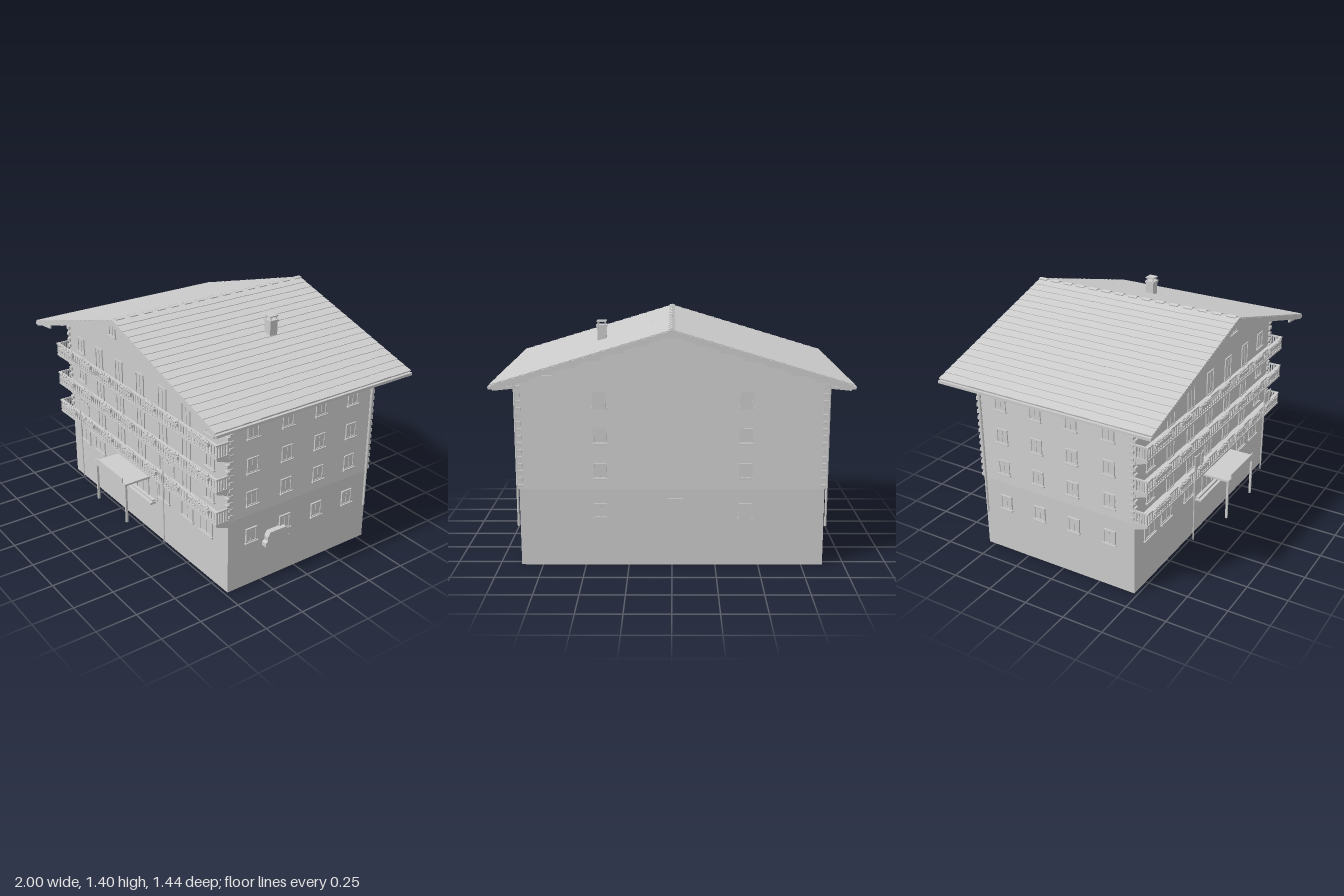
import * as THREE from 'three';
import { mergeGeometries } from 'three/addons/utils/BufferGeometryUtils.js';

const RIDGE = 1.39, SLOPE = 0.302, EAVE = 0.985;
const X = 0.877, ZF = 0.48, ZB = -0.545;       // wall faces
const ROOF_F = 0.65, ROOF_B = -0.72;

export function createModel() {
  const model = new THREE.Group();
  model.name = 'chalet';
  const grey = new THREE.MeshStandardMaterial({ color: 0xcccccc });
  grey.name = 'plain grey';

  let seed = 7;
  const rand = () => (seed = (seed * 16807) % 2147483647) / 2147483647;

  // Box given by its limits on each axis
  const box = (x0, x1, y0, y1, z0, z1) =>
    new THREE.BoxGeometry(x1 - x0, y1 - y0, z1 - z0)
      .translate((x0 + x1) / 2, (y0 + y1) / 2, (z0 + z1) / 2);
  const rod = (r, y0, y1, x, z, n = 8) =>
    new THREE.CylinderGeometry(r, r, y1 - y0, n).translate(x, (y0 + y1) / 2, z);
  const part = (name, geos) => {
    const flat = geos.map(g => (g.index ? g.toNonIndexed() : g));
    const mesh = new THREE.Mesh(mergeGeometries(flat), grey);
    mesh.name = name;
    model.add(mesh);
    return mesh;
  };
  const extrude = (points, depth) =>
    new THREE.ExtrudeGeometry(new THREE.Shape(points.map(p => new THREE.Vector2(...p))),
      { depth, bevelEnabled: false });

  // Stone base and gabled upper storeys
  part('base', [box(-X + 0.002, X - 0.002, 0, 0.46, ZB, ZF)]);
  const gableY = RIDGE - 0.02 - X * SLOPE;
  part('upperWalls', [extrude([[-X, 0.46], [X, 0.46], [X, gableY], [0, RIDGE - 0.02], [-X, gableY]],
    ZF - ZB).translate(0, 0, ZB)]);

  // Tilted cladding courses on the sides and back
  const cladding = [];
  const pitch = 0.041;
  for (let y = 0.46; y < 1.3; y += pitch) {
    const half = Math.min(X, (RIDGE - 0.03 - y - pitch) / SLOPE);
    cladding.push(new THREE.BoxGeometry(half * 2, pitch, 0.003).rotateX(0.07)
      .translate(0, y + pitch / 2, ZB - 0.001));
    if (y < 1.04) for (const s of [-1, 1])
      cladding.push(new THREE.BoxGeometry(0.003, pitch, ZF - ZB).rotateZ(s * 0.07)
        .translate(s * (X + 0.001), y + pitch / 2, (ZF + ZB) / 2));
  }
  part('wallCladding', cladding);

  // Interlocking log ends at the corners
  const logs = [];
  for (let i = 0; i < 15; i++) {
    const y = 0.465 + i * pitch;
    for (const s of [-1, 1]) for (const [z, d] of [[ZF, 1], [ZB, -1]]) {
      const x = s * (X - 0.01);
      logs.push(box(x - 0.014, x + 0.014, y, y + 0.021, z - 0.012, z + 0.012));
      logs.push(box(s * X - 0.009, s * X + 0.009, y + 0.021, y + 0.038,
        z - d * 0.012 - 0.012, z - d * 0.012 + 0.012));
    }
  }
  part('logCorners', logs);

  // Roof slab with overhanging eaves
  const eaveY = RIDGE - EAVE * SLOPE;
  part('roof', [extrude([[0, RIDGE], [-EAVE, eaveY], [-EAVE + 0.01, eaveY - 0.027], [0, RIDGE - 0.03],
    [EAVE - 0.01, eaveY - 0.027], [EAVE, eaveY]], ROOF_F - ROOF_B).translate(0, 0, ROOF_B)]);

  // Shingle courses, broken at irregular lengths
  const shingles = [];
  const tilt = Math.atan(SLOPE), rows = 18, len = EAVE / Math.cos(tilt) / rows;
  for (const s of [-1, 1]) for (let r = 0; r < rows; r++) {
    const x = (r + 0.5) * EAVE / rows;
    let z = ROOF_B;
    while (z < ROOF_F - 0.001) {
      let end = z + 0.035 + rand() * 0.06;
      if (end > ROOF_F - 0.03) end = ROOF_F;
      shingles.push(new THREE.BoxGeometry(len * (1.04 + rand() * 0.12), 0.005, end - z)
        .rotateZ(-s * (tilt - 0.06))
        .translate(s * (x + 0.002), RIDGE - x * SLOPE + 0.003, (z + end) / 2));
      z = end;
    }
  }
  part('shingles', shingles);

  // Ridge caps, rafter ends and gutters
  const caps = [], rafters = [], gutters = [];
  for (let i = 0; i < 15; i++) {
    const z = ROOF_B + 0.03 + i * 0.0925;
    for (const s of [-1, 1])
      caps.push(new THREE.BoxGeometry(0.02, 0.006, 0.055).rotateZ(-s * tilt).translate(s * 0.008, RIDGE + 0.008, z));
  }
  for (const s of [-1, 1]) {
    for (let i = 0; i < 16; i++)
      rafters.push(new THREE.BoxGeometry(0.11, 0.016, 0.012).rotateZ(-s * 0.1)
        .translate(s * 0.925, eaveY - 0.022, ROOF_B + 0.04 + i * 0.086));
    gutters.push(box(s * 0.99 - 0.01, s * 0.99 + 0.01, eaveY - 0.022, eaveY - 0.006, ROOF_B, ROOF_F));
    gutters.push(rod(0.007, 0.23, 1.075, s * (X + 0.012), -0.525));
  }
  part('ridgeCaps', caps);
  part('rafterEnds', rafters);
  part('guttersAndDownpipes', gutters);

  // Chimney with an open hood
  const chimney = [box(0.39, 0.442, 1.24, 1.355, -0.18, -0.128), box(0.384, 0.448, 1.345, 1.357, -0.186, -0.122),
    box(0.388, 0.444, 1.374, 1.382, -0.182, -0.126)];
  for (const x of [0.396, 0.436]) for (const z of [-0.174, -0.134]) chimney.push(rod(0.004, 1.355, 1.375, x, z, 6));
  part('chimney', chimney);

  // Framed opening facing +z, then turned onto its wall
  function opening(w, h, bars, sill) {
    const t = 0.008, a = w / 2, b = h / 2;
    const g = [box(-a, a, -b, b, -0.003, 0.002), box(-a, -a + t, -b, b, 0, 0.007), box(a - t, a, -b, b, 0, 0.007),
      box(-a + t, a - t, b - t, b, 0, 0.007), box(-a + t, a - t, -b, -b + t, 0, 0.007)];
    if (bars) g.push(box(-0.003, 0.003, -b + t, b - t, 0, 0.005));
    if (sill) g.push(box(-a - 0.006, a + 0.006, -b - 0.006, -b + 0.003, 0, 0.014));
    return mergeGeometries(g);
  }
  const storeys = [0.33, 0.567, 0.77, 0.977];
  const side = [], back = [], front = [];
  for (const y of storeys) {
    for (const s of [-1, 1]) for (const z of [0.325, 0.087, -0.148, -0.385])
      side.push(opening(0.076, 0.09, true, true).rotateY(s * Math.PI / 2).translate(s * (X + 0.003), y, z));
    for (const x of [-0.42, 0.41])
      back.push(opening(0.076, 0.09, true, true).rotateY(Math.PI).translate(x, y, ZB - 0.003));
  }
  back.push(opening(0.085, 0.18, false, false).rotateY(Math.PI).translate(-0.02, 0.31, ZB - 0.003));
  for (const x of [-0.71, -0.52, -0.24, 0.24, 0.485, 0.675])
    front.push(opening(0.12, 0.13, true, true).translate(x, 0.355, ZF));
  const floors = [0.475, 0.675, 0.877];
  for (const y of floors) {
    for (const x of [-0.48, -0.24, 0, 0.24, 0.48])
      front.push(opening(0.085, 0.15, true, false).translate(x, y + 0.08, ZF));
    for (const x of [-0.71, 0.71]) front.push(opening(0.08, 0.1, true, true).translate(x, y + 0.1, ZF));
  }
  for (const x of [-0.3, 0.3]) front.push(opening(0.075, 0.075, true, true).translate(x, 1.203, ZF));
  part('sideWindows', side);
  part('backWindowsAndDoor', back);
  part('frontWindowsAndDoors', front);

  // Three balconies: deck, brackets, railing and flower boxes
  const W = 0.885, BZ = 0.568;
  const bracket = new THREE.Shape();
  bracket.moveTo(0, 0);
  bracket.lineTo(0.08, 0);
  bracket.lineTo(0.08, -0.012);
  bracket.quadraticCurveTo(0.05, -0.022, 0, -0.042);
  for (const y of floors) {
    const deck = [box(-W, W, y - 0.006, y + 0.006, ZF, BZ)];
    for (const x of [0.872, 0.69, 0.51, 0.35, 0.17]) for (const s of [-1, 1])
      deck.push(new THREE.ExtrudeGeometry(bracket, { depth: 0.014, bevelEnabled: false, curveSegments: 5 })
        .rotateY(-Math.PI / 2).translate(s * x + 0.007, y - 0.005, ZF));
    part('balconyDeck', deck);

    const rail = [box(-W, W, y + 0.07, y + 0.08, BZ - 0.014, BZ + 0.002),
      box(-W, W, y + 0.014, y + 0.02, BZ - 0.008, BZ - 0.002)];
    for (let i = 0; i <= 68; i++) {
      const x = -0.88 + i * 1.76 / 68;
      rail.push(box(x - 0.006, x + 0.006, y, y + 0.072, BZ - 0.008, BZ - 0.003));
    }
    for (const s of [-1, 1]) {
      const x = s * (W - 0.005);
      rail.push(box(x - 0.005, x + 0.005, y + 0.07, y + 0.08, ZF, BZ));
      for (let i = 0; i < 5; i++)
        rail.push(box(x - 0.003, x + 0.003, y, y + 0.072, ZF + 0.007 + i * 0.017, ZF + 0.017 + i * 0.017));
    }
    part('balconyRailing', rail);

    const boxes = [], plants = [];
    for (const c of [-0.74, -0.48, -0.25, 0, 0.25, 0.48, 0.74]) {
      const w = Math.abs(c) > 0.6 ? 0.09 : 0.06;
      boxes.push(box(c - w, c + w, y + 0.052, y + 0.072, BZ + 0.002, BZ + 0.017));
      for (let x = c - w; x <= c + w; x += 0.013)
        plants.push(new THREE.IcosahedronGeometry(0.007 + rand() * 0.004, 0)
          .translate(x, y + 0.074 + rand() * 0.012, BZ + 0.008 + rand() * 0.006));
    }
    part('flowerBoxes', boxes);
    part('flowers', plants);
  }

  // Entrance: door, steps, lamp and canopy on posts
  part('entrance', [opening(0.14, 0.18, true, false).translate(0, 0.33, ZF),
    opening(0.32, 0.19, false, false).scale(1, 1, 0.4).translate(0, 0.335, ZF)]);
  part('steps', [box(-0.147, 0.143, 0.222, 0.235, ZF, 0.52), box(-0.14, 0.136, 0.235, 0.248, ZF, 0.502)]);
  part('lamp', [box(0.064, 0.072, 0.4, 0.406, ZF, 0.505), rod(0.007, 0.37, 0.402, 0.068, 0.5)]);
  part('canopy', [box(-0.18, 0.18, 0.433, 0.445, 0.485, 0.712), box(-0.155, 0.155, 0.445, 0.478, 0.71, 0.717),
    box(-0.172, 0.172, 0.42, 0.433, 0.695, 0.708)]);
  part('canopyPosts', [-0.168, 0.168].map(x => box(x - 0.006, x + 0.006, 0.183, 0.433, 0.695, 0.708)));

  // Flag poles with hanging banners
  for (const x of [-0.475, 0.473]) {
    part('flagPole', [rod(0.004, 0.183, 0.725, x, 0.637),
      new THREE.SphereGeometry(0.006, 8, 6).translate(x, 0.728, 0.637)]);
    part('flag', [box(x + 0.004, x + 0.06, 0.65, 0.725, 0.634, 0.64),
      new THREE.BoxGeometry(0.05, 0.075, 0.005).rotateY(0.2).translate(x + 0.084, 0.684, 0.637)]);
  }

  // Stepped storage bin against the left wall
  part('sideBin', [extrude([[-0.24, 0.225], [-0.065, 0.225], [-0.065, 0.25], [-0.08, 0.258], [-0.08, 0.285],
    [-0.095, 0.313], [-0.21, 0.313], [-0.225, 0.285], [-0.225, 0.258], [-0.24, 0.25]], 0.035)
    .rotateY(Math.PI / 2).translate(0.874, 0, 0)]);

  return model;
}
